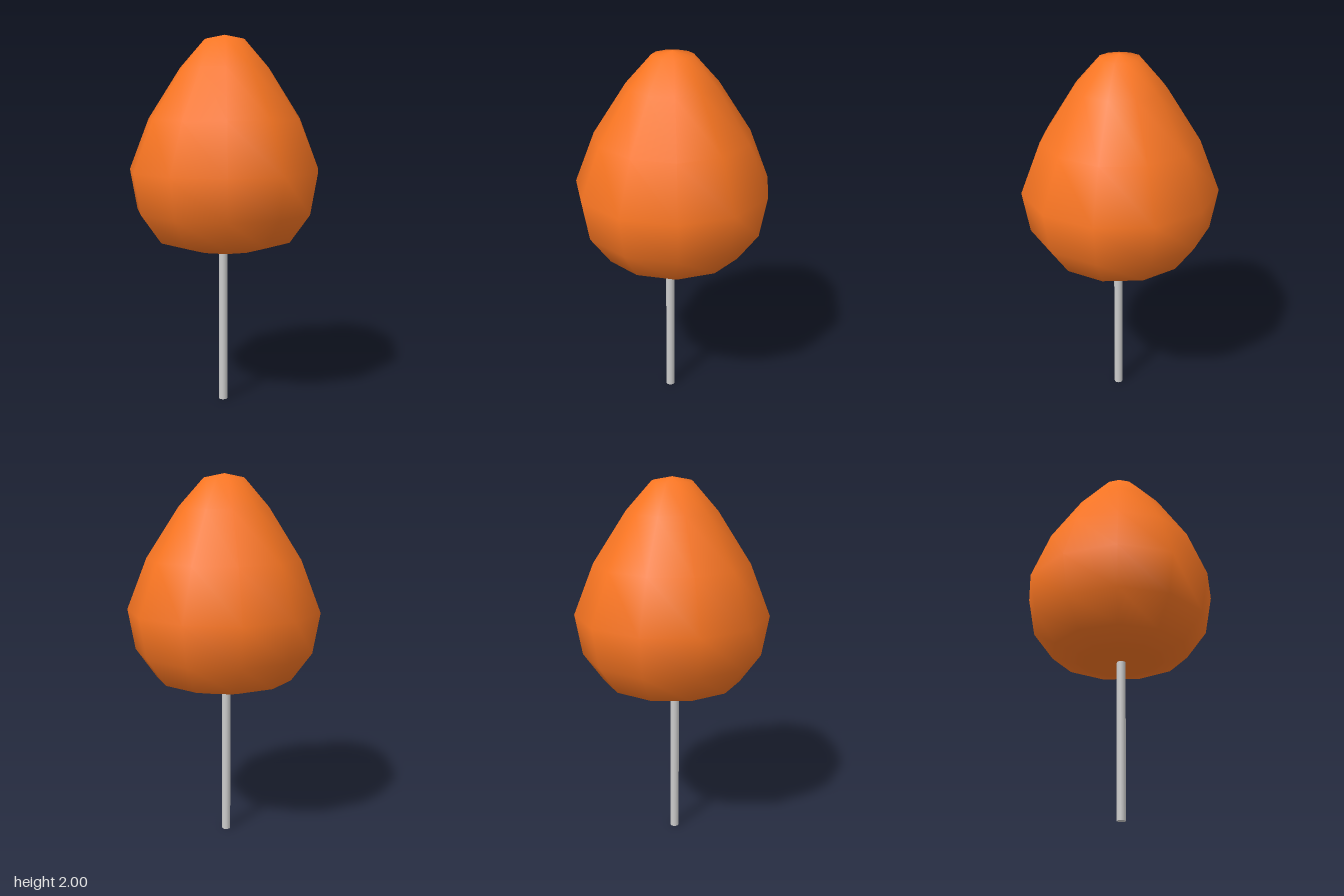
import * as THREE from 'three';

export function createModel() {
  const group = new THREE.Group();

  // Teardrop crown: smooth-shaded lathe with eleven sides, one corner at the back
  const profile = [
    [0, 0.853], [0.203, 0.86], [0.373, 0.91], [0.484, 1.065], [0.523, 1.285],
    [0.415, 1.56], [0.24, 1.83], [0.108, 1.978], [0, 2],
  ].map(([r, y]) => new THREE.Vector2(r, y));
  const crown = new THREE.Mesh(
    new THREE.LatheGeometry(profile, 11, Math.PI),
    new THREE.MeshStandardMaterial({ color: 0xf87522 })
  );
  crown.name = 'crown';
  crown.position.z = 0.009;
  group.add(crown);

  // Thin trunk, slightly off centre, running up into the crown
  const height = 0.95;
  const trunk = new THREE.Mesh(
    new THREE.CylinderGeometry(0.024, 0.024, height, 12),
    new THREE.MeshStandardMaterial({ color: 0xcccccc })
  );
  trunk.name = 'trunk';
  trunk.position.set(-0.012, height / 2, 0.019);
  group.add(trunk);

  return group;
}
